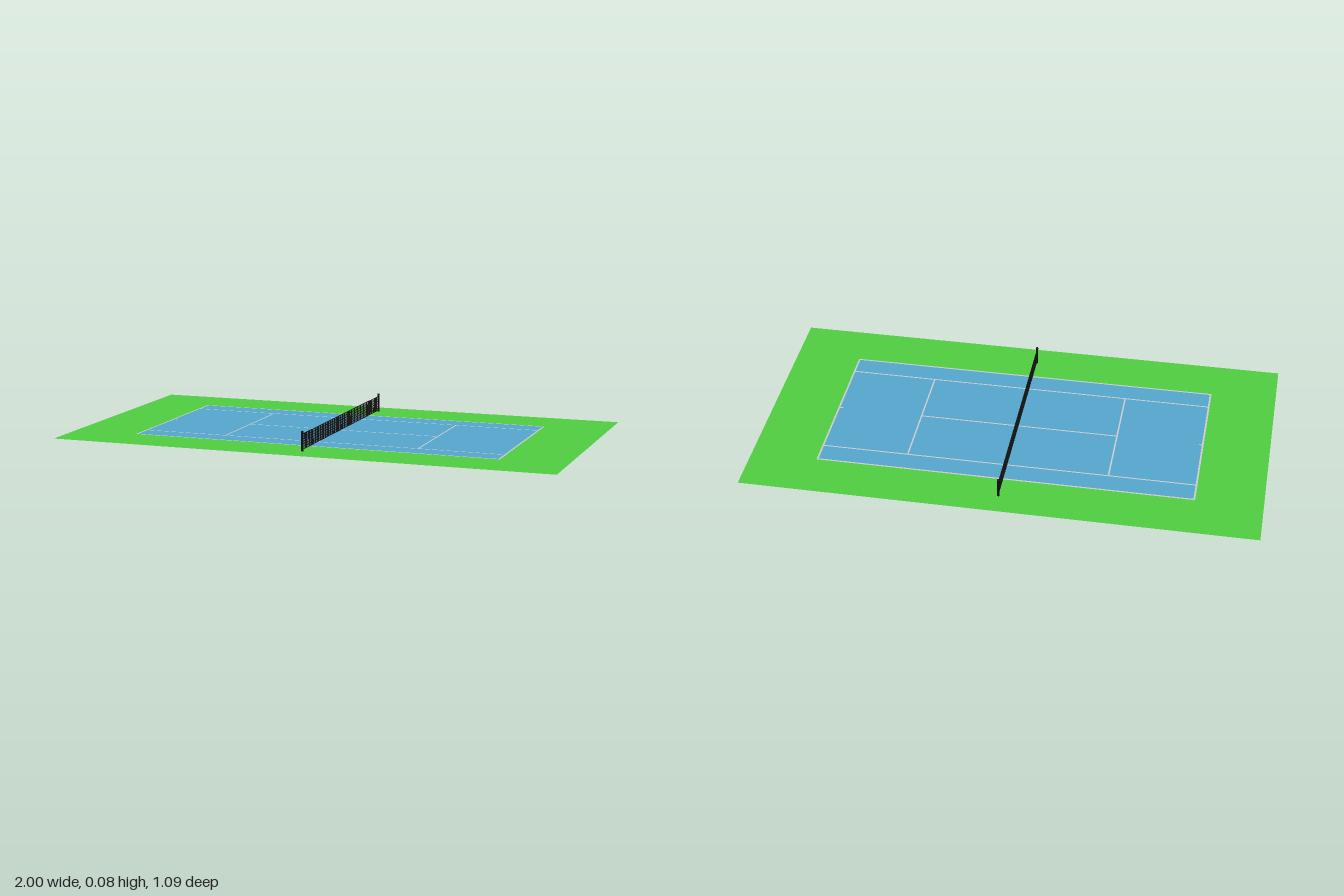
import * as THREE from 'three';
import { mergeGeometries } from 'three/addons/utils/BufferGeometryUtils.js';

const paint = (color, side = THREE.FrontSide) => new THREE.MeshStandardMaterial({ color, side });

// Rectangle outline in the ground plane
function rect(x0, z0, x1, z1, Type = THREE.Shape) {
  const p = [[x0, z0], [x1, z0], [x1, z1], [x0, z1]];
  return new Type(p.map(([x, z]) => new THREE.Vector2(x, z)));
}

// Flat piece lying on the ground
function flat(name, shapes, color) {
  const geometry = new THREE.ShapeGeometry(shapes).rotateX(-Math.PI / 2);
  const mesh = new THREE.Mesh(geometry, paint(color, THREE.DoubleSide));
  mesh.name = name;
  return mesh;
}

export function createModel() {
  const group = new THREE.Group();
  group.name = 'tennisCourt';

  // Court measures: outer edges, singles lines, service lines, half line width
  const X = 0.74, Z = 0.349, single = 0.257, service = 0.396, w = 0.003, edge = 0.007;

  // Surround with the court cut out
  const surround = rect(-1, -0.543, 1, 0.543);
  surround.holes.push(rect(-X, -Z, X, Z, THREE.Path));
  group.add(flat('surround', surround, 0x50cc40));

  // Playing areas between the lines
  const areas = [];
  for (const s of [-1, 1]) {
    areas.push([-X + edge, s * (single + w), X - edge, s * (Z - edge)]);
    areas.push([-service + w, s * w, service - w, s * (single - w)]);
  }
  const panels = areas.map(a => rect(...a));

  // Back courts, notched by the centre mark
  for (const s of [-1, 1]) {
    const a = s * (service + w), b = s * (X - edge), m = b - s * 0.012, z = single - w;
    panels.push(new THREE.Shape([[a, -z], [b, -z], [b, -w], [m, -w], [m, w], [b, w], [b, z], [a, z]]
      .map(([x, y]) => new THREE.Vector2(x, y))));
  }
  group.add(flat('playingSurface', panels, 0x54a6cc));

  // Painted lines fill what is left between the areas
  const lines = rect(-X, -Z, X, Z);
  lines.holes = panels.map(p => new THREE.Path(p.getPoints()));
  group.add(flat('courtLines', lines, 0xcccccc));

  // Net of fine crossing strands
  const halfNet = 0.447, low = 0.005, high = 0.066, t = 0.002, strands = [];
  const columns = 97, rows = 7;
  for (let i = 0; i < columns; i++) {
    const z = -halfNet + (2 * halfNet * i) / (columns - 1);
    strands.push(new THREE.BoxGeometry(t, high - low, t).translate(0, (high + low) / 2, z));
  }
  for (let j = 0; j < rows; j++) {
    const y = low + t / 2 + ((high - low - t) * j) / (rows - 1);
    strands.push(new THREE.BoxGeometry(t, t, 2 * halfNet).translate(0, y, 0));
  }
  const net = new THREE.Mesh(mergeGeometries(strands), paint(0x151515));
  net.name = 'net';
  group.add(net);

  // Net posts with rounded tops
  const r = 0.005, top = 0.078;
  const profile = [[0, 0], [r, 0], [r, top - 0.004], [r * 0.7, top - 0.001], [0, top]]
    .map(([x, y]) => new THREE.Vector2(x, y));
  for (const s of [-1, 1]) {
    const post = new THREE.Mesh(new THREE.LatheGeometry(profile, 16), paint(0x0a0a0a));
    post.name = s > 0 ? 'frontPost' : 'backPost';
    post.position.z = s * 0.449;
    group.add(post);
  }
  return group;
}
